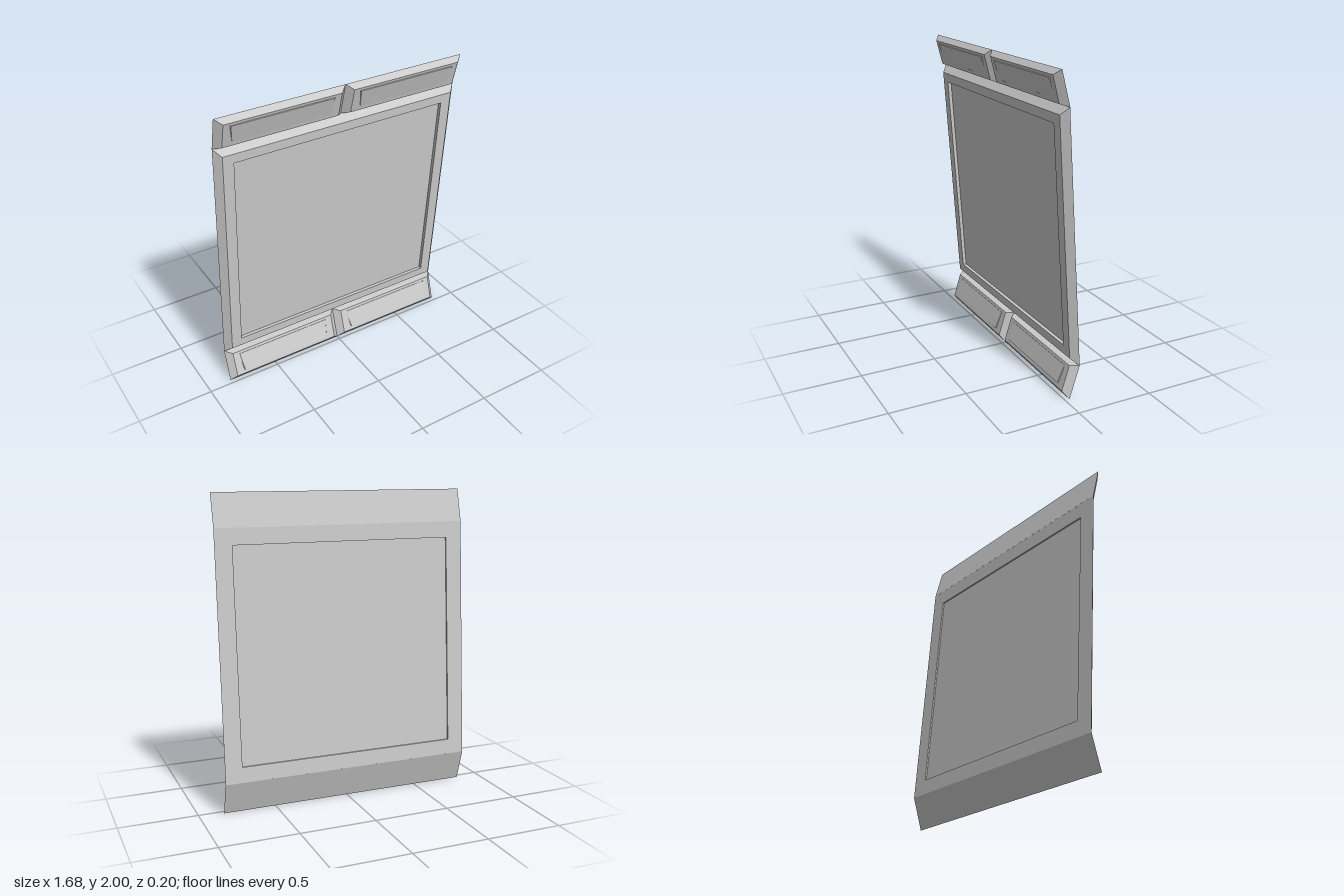
import * as THREE from 'three';

// Four corners of a panel outline, lying on a tilted plane z = plane(y).
// xTop lets the outline widen towards its upper edge.
function outline(x0, x1, y0, y1, plane, lift = 0, flare = 0) {
  return [[x0, y0], [x1, y0], [x1 + flare, y1], [x0 - flare, y1]]
    .map(([x, y]) => [x, y, plane(y) + lift]);
}

// Skin a series of outlines running from back to front, capping both ends.
function loft(name, loops, material) {
  const positions = [];
  const quad = (a, b, c, d) => positions.push(...a, ...b, ...c, ...a, ...c, ...d);
  for (let k = 0; k < loops.length - 1; k++) {
    const a = loops[k], b = loops[k + 1];
    for (let i = 0; i < 4; i++) {
      const j = (i + 1) % 4;
      quad(a[i], a[j], b[j], b[i]);
    }
  }
  const [p, q, r, s] = loops[0];
  quad(s, r, q, p);
  quad(...loops[loops.length - 1]);
  const geometry = new THREE.BufferGeometry();
  geometry.setAttribute('position', new THREE.Float32BufferAttribute(positions, 3));
  geometry.computeVertexNormals();
  const mesh = new THREE.Mesh(geometry, material);
  mesh.name = name;
  return mesh;
}

export function createModel() {
  const group = new THREE.Group();
  group.name = 'windowPanel';
  const material = new THREE.MeshStandardMaterial({ color: 0xcccccc, flatShading: true });

  // Large bevelled frame with a thin pane recessed from both faces
  const mainPlane = y => -0.095 + 0.07 * (y - 0.21);
  const opening = lift => outline(-0.73, 0.73, 0.31, 1.685, mainPlane, lift);
  group.add(loft('mainFrame', [
    opening(0.01),
    opening(0),
    outline(-0.842, 0.842, 0.21, 1.79, mainPlane),
    outline(-0.8, 0.8, 0.25, 1.745, mainPlane, 0.043),
    opening(0.043),
    opening(0.02),
  ], material));

  // Paired folded panels above and below, each with a slightly raised inlay
  const rows = [
    {
      name: 'upper', y: [1.79, 2], face: [1.805, 1.967], inlay: [1.828, 1.95],
      plane: y => 0.015 + 0.262 * (y - 1.79), depth: 0.041, rise: [0.001, 0.006],
    },
    {
      name: 'lower', y: [0, 0.21], face: [0.042, 0.203], inlay: [0.066, 0.188],
      plane: y => -0.03 - 0.31 * y, depth: 0.044, rise: [0.006, 0.001],
    },
  ];
  for (const row of rows) {
    for (const side of [-1, 1]) {
      const label = row.name + (side > 0 ? 'Left' : 'Right');
      // Outline spanning distances a..b from the centre line on this side
      const span = (a, b, [y0, y1], lift, flare) =>
        outline(Math.min(side * a, side * b), Math.max(side * a, side * b), y0, y1, row.plane, lift, flare);
      group.add(loft(label + 'Panel', [
        span(0, 0.842, row.y, 0),
        span(0.042, 0.8, row.face, row.depth),
      ], material));

      // The inlay stands proud at the panel's outer edge
      const [y0, y1] = row.inlay;
      const top = span(0.105, 0.74, [y0 + 0.003, y1 - 0.003], row.depth, 0.015);
      top.forEach((point, i) => { point[2] += row.rise[i < 2 ? 0 : 1]; });
      group.add(loft(label + 'Inlay', [
        span(0.098, 0.747, row.inlay, row.depth - 0.004, 0.015),
        top,
      ], material));
    }
  }
  return group;
}
